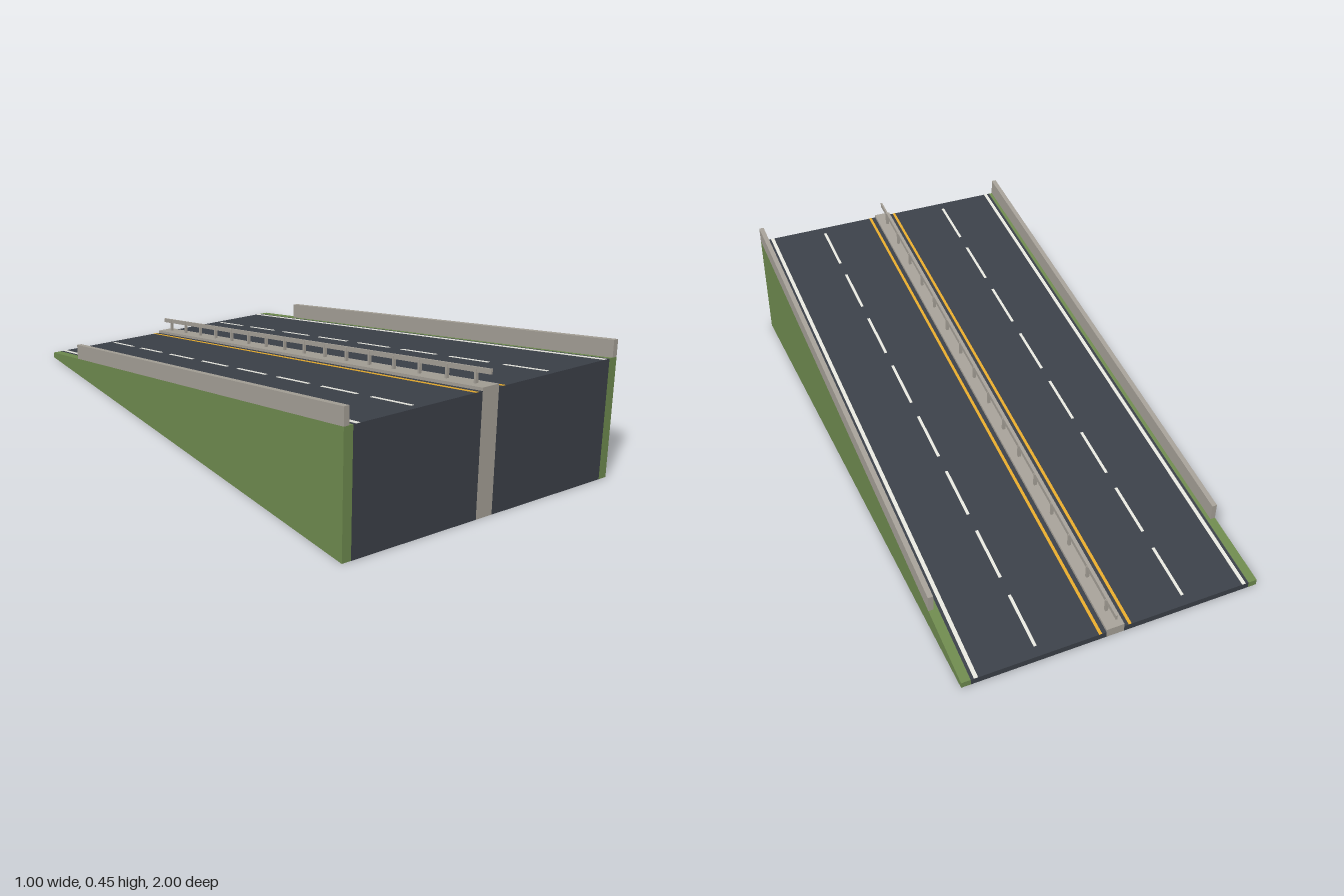
import * as THREE from 'three';

const mat = (name, color) => {
  const m = new THREE.MeshStandardMaterial({ color, side: THREE.DoubleSide });
  m.name = name;
  return m;
};

// Height of the sloping road surface at a given z
const roadY = (z) => 0.2075 + 0.1875 * z;

// Box between two x and two z values whose top follows the slope.
// The bottom follows it too, or is open at the ground when lo is null.
function slopedBox(x0, x1, z0, z1, lo, hi) {
  const g = new THREE.BoxGeometry(1, 1, 1);
  const p = g.attributes.position;
  for (let i = 0; i < p.count; i++) {
    const z = p.getZ(i) > 0 ? z1 : z0;
    const top = p.getY(i) > 0;
    const y = top ? roadY(z) + hi : lo === null ? 0 : roadY(z) + lo;
    p.setXYZ(i, p.getX(i) > 0 ? x1 : x0, y, z);
  }
  g.computeVertexNormals();
  g.clearGroups();
  // The fourth face of a box is its underside
  if (lo === null) g.setIndex([...g.index.array].filter((_, i) => i < 18 || i >= 24));
  return g;
}

export function createModel() {
  const model = new THREE.Group();
  model.name = 'roadRamp';

  const asphalt = mat('asphalt', 0x3c4149);
  const concrete = mat('concrete', 0xa6a198);
  const grass = mat('grass', 0x6f8b4f);
  const white = mat('whitePaint', 0xf0f0e8);
  const yellow = mat('yellowPaint', 0xf2b430);

  const add = (name, material, ...dims) => {
    const mesh = new THREE.Mesh(slopedBox(...dims), material);
    mesh.name = name;
    model.add(mesh);
  };
  // Same part on both sides of the centre line
  const addPair = (name, material, x0, x1, ...rest) => {
    add(name + 'Left', material, x0, x1, ...rest);
    add(name + 'Right', material, -x1, -x0, ...rest);
  };

  // Carriageways: thin deck, tall end wall and low end lip, open underneath
  addPair('roadDeck', asphalt, 0.03, 0.47, -1, 1, -0.004, 0);
  addPair('endWall', asphalt, 0.03, 0.47, 0.996, 1, null, 0);
  addPair('lowEndLip', asphalt, 0.03, 0.47, -1, -0.996, null, 0);

  // Retaining walls and the parapets above them, stopping short of the low end
  addPair('retainingWall', concrete, 0.483, 0.498, -0.75, 0.998, null, 0);
  addPair('parapet', concrete, 0.483, 0.5, -0.75, 1, 0, 0.056);

  // Grass: outer banks, verges beside the road and their ends
  addPair('bank', grass, 0.498, 0.5, -0.75, 0.998, null, 0);
  addPair('verge', grass, 0.47, 0.483, -1, 1, -0.004, 0);
  addPair('vergeFront', grass, 0.47, 0.5, 0.998, 1, null, 0);
  addPair('vergeLowEnd', grass, 0.483, 0.5, -1, -0.75, null, 0);
  addPair('vergeLowLip', grass, 0.47, 0.483, -1, -0.996, null, 0);

  // Hollow central median
  add('median', concrete, -0.03, 0.03, -1, 1, null, 0.01);

  // Guard rail with posts along the median
  add('guardRail', concrete, -0.003, 0.003, -1, 1, 0.043, 0.059);
  for (let i = 0; i < 16; i++) {
    const z = -0.9375 + i * 0.125;
    add('railPost', concrete, -0.005, 0.005, z - 0.004, z + 0.004, 0.01, 0.055);
  }

  // Painted lines
  addPair('centreLine', yellow, 0.045, 0.055, -1, 1, 0, 0.001);
  addPair('edgeLine', white, 0.447, 0.46, -1, 1, 0, 0.001);
  for (let i = 0; i < 8; i++) {
    const z = -0.875 + i * 0.25;
    addPair('laneDash', white, 0.245, 0.255, z - 0.092, z + 0.092, 0, 0.001);
  }

  return model;
}
